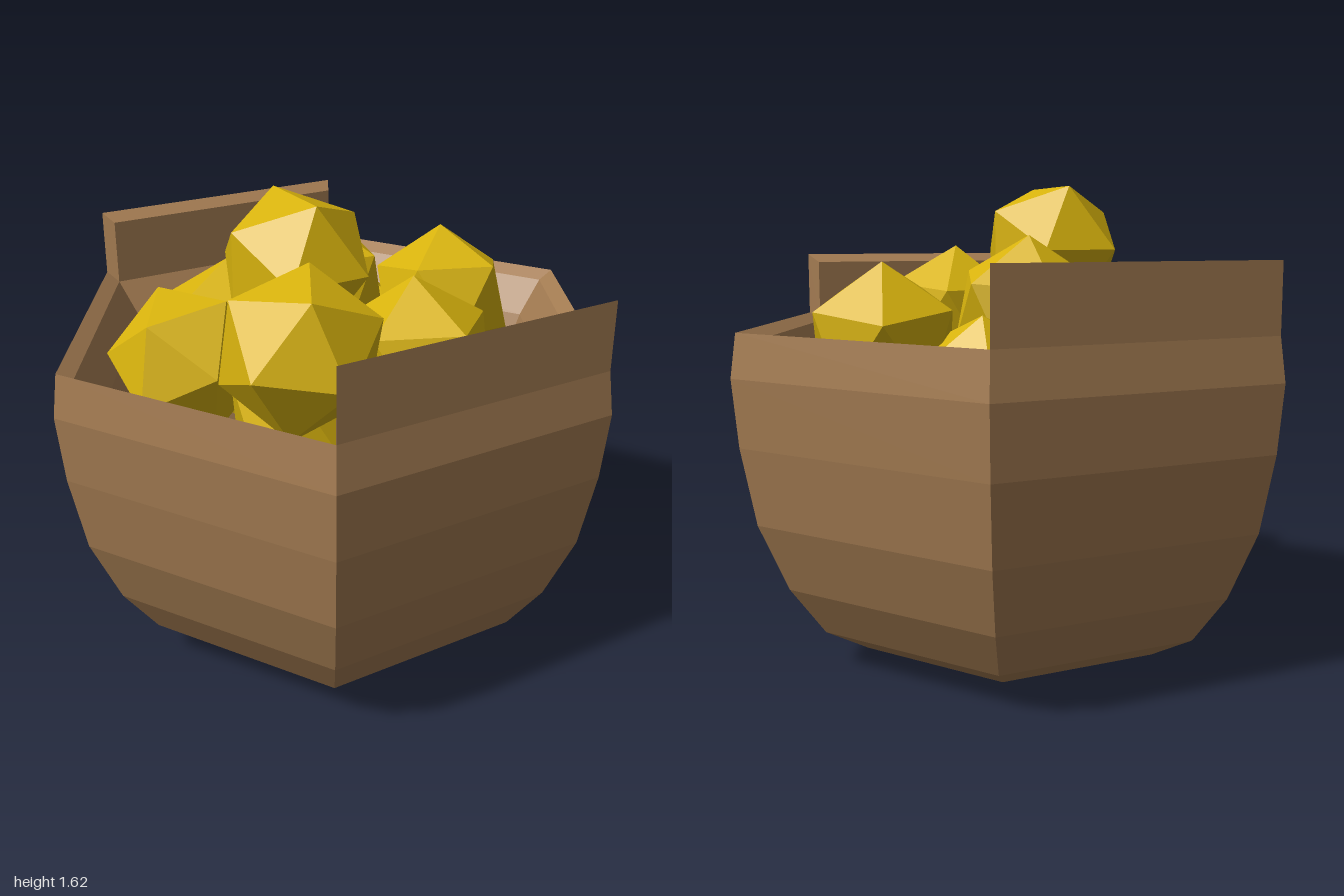
import * as THREE from 'three';
import { ConvexGeometry } from 'three/addons/geometries/ConvexGeometry.js';

export function createModel() {
  const model = new THREE.Group();
  model.name = 'bowlOfNuggets';

  const wood = new THREE.MeshStandardMaterial({ color: 0xa47c52, flatShading: true });
  wood.name = 'brown wood';
  const gold = new THREE.MeshStandardMaterial({ color: 0xd8b30d, flatShading: true });
  gold.name = 'golden yellow';

  const add = (name, geometry, material) => {
    const mesh = new THREE.Mesh(geometry, material);
    mesh.name = name;
    model.add(mesh);
    return mesh;
  };

  // Six-sided bowl: up the outside, over the sloping rim, down the funnel-shaped inside
  const profile = [
    [0, 0], [0.39, 0.005], [0.56, 0.04], [0.71, 0.12], [0.83, 0.285], [0.93, 0.515],
    [0.98, 0.775], [1, 1], [0.98, 1.145],
    [0.925, 1.115], [0.84, 0.99], [0.52, 0.25], [0, 0.2],
  ].map(([r, y]) => new THREE.Vector2(r, y));
  add('bowl', new THREE.LatheGeometry(profile, 6), wood);

  // Raised wall panels on two opposite sides, with mitred ends
  const section = [[0.98, 1.145], [0.98, 1.375], [0.925, 1.345], [0.925, 1.115]];
  const panel = (name, start) => {
    const corners = [];
    for (const angle of [start, start + Math.PI / 3]) {
      for (const [r, y] of section) {
        corners.push(new THREE.Vector3(r * Math.sin(angle), y, r * Math.cos(angle)));
      }
    }
    add(name, new ConvexGeometry(corners), wood);
  };
  panel('frontHandlePanel', 0);
  panel('backHandlePanel', Math.PI);

  // Faceted nugget with one corner pointing up and a neighbouring corner to the back
  const nugget = new THREE.IcosahedronGeometry(0.262, 0);
  nugget.rotateX(-Math.atan((1 + Math.sqrt(5)) / 2));
  nugget.rotateY(Math.PI);

  // x, y, z of each nugget, lean of its top corner in x and z, spin about that corner
  const heap = [
    [-0.12, 1.395, 0.19, -0.26, -0.44, -0.1],
    [-0.1, 1.275, 0.64, 0.11, -0.44, 0.7],
    [0.26, 1.15, 0.38, -0.05, -0.08, 0],
    [0.37, 0.93, 0.12, 0, -0.28, 0.05],
    [-0.48, 1.07, 0.21, -0.36, -0.42, 0.45],
    [-0.39, 1.0, -0.25, 0.04, -0.2, 0],
    [-0.05, 1.19, -0.19, -0.05, -0.12, 0.45],
    [0.41, 1.11, -0.3, -0.03, -0.22, 0.17],
    [0.07, 0.95, -0.37, 0, -0.3, 0.2],
    [-0.1, 0.95, 0.32, 0, -0.1, 0.6],
    [0.18, 0.86, 0.09, 0, -0.2, 0.4],
    [-0.17, 0.88, -0.16, 0, 0.2, 0.1],
  ];
  const up = new THREE.Vector3(0, 1, 0);
  heap.forEach(([x, y, z, leanX, leanZ, spin], i) => {
    const mesh = add('nugget' + (i + 1), nugget, gold);
    const top = new THREE.Vector3(leanX, Math.sqrt(1 - leanX ** 2 - leanZ ** 2), leanZ);
    mesh.position.set(x, y, z);
    mesh.quaternion.setFromUnitVectors(up, top);
    mesh.rotateY(spin);
  });

  return model;
}
